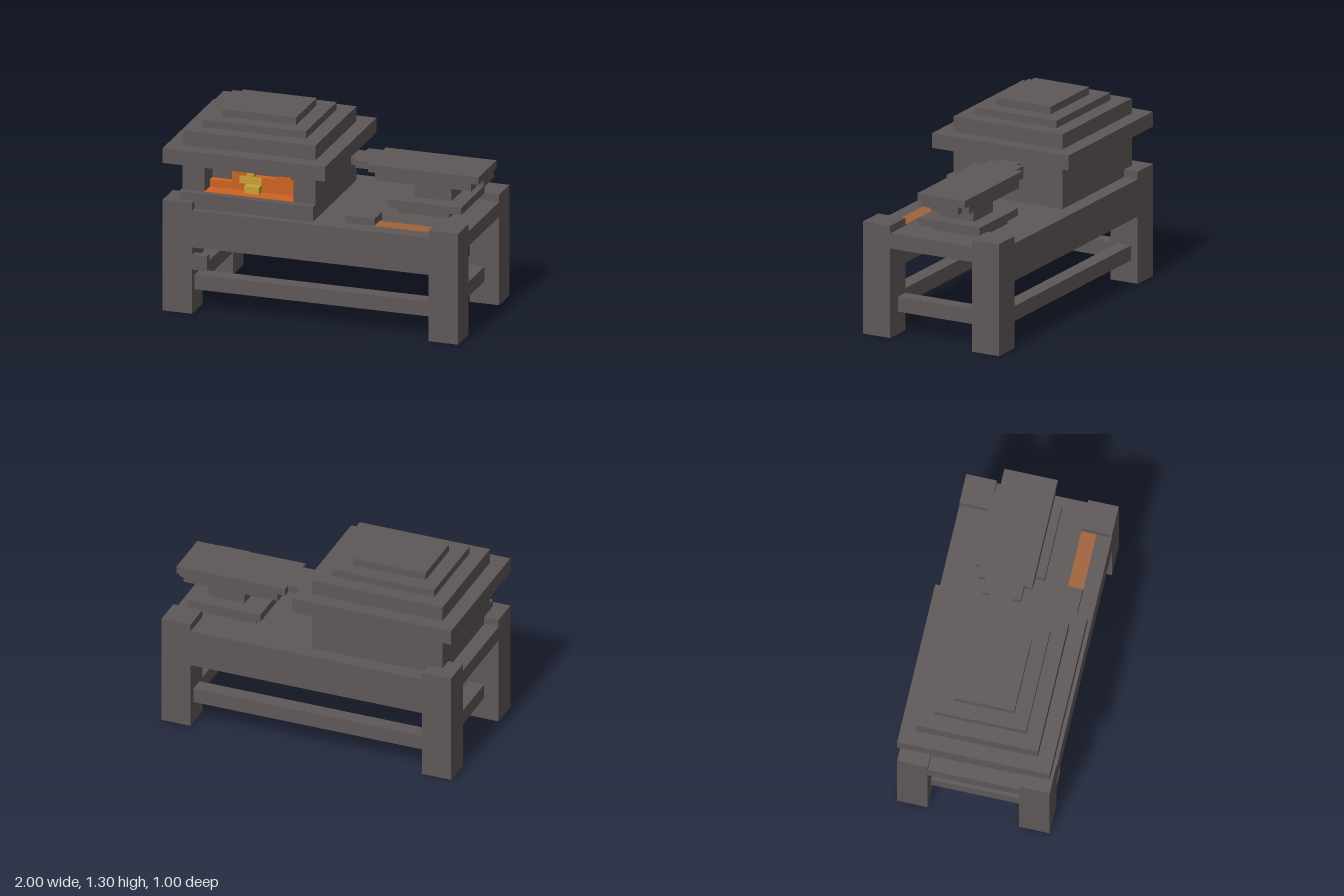
import * as THREE from 'three';

const mat = (name, color) => {
  const m = new THREE.MeshStandardMaterial({ color });
  m.name = name;
  return m;
};

export function createModel() {
  const stone = mat('dark stone', 0x5e5857);
  const fire = mat('fire orange', 0xcc6222);
  const flame = mat('flame yellow', 0xc8a238);
  const ember = mat('dull ember', 0xa0633a);
  const model = new THREE.Group();
  model.name = 'forgeTable';

  const group = (name) => {
    const g = new THREE.Group();
    g.name = name;
    model.add(g);
    return g;
  };
  // Box given by its extents on each axis
  const box = (parent, name, [x0, x1], [y0, y1], [z0, z1], material = stone) => {
    const mesh = new THREE.Mesh(new THREE.BoxGeometry(x1 - x0, y1 - y0, z1 - z0), material);
    mesh.position.set((x0 + x1) / 2, (y0 + y1) / 2, (z0 + z1) / 2);
    mesh.name = name;
    parent.add(mesh);
  };
  // Extent mirrored to the chosen side
  const side = (s, a, b) => (s > 0 ? [a, b] : [-b, -a]);

  // Table: legs, aprons, stretchers and top
  const table = group('table');
  for (const s of [-1, 1]) {
    for (const t of [-1, 1]) box(table, 'leg', side(s, 0.8, 1), [0, 0.75], side(t, 0.3, 0.5));
    box(table, 'apron', [-0.8, 0.8], [0.45, 0.7], side(s, 0.3, 0.5));
    box(table, 'longStretcher', [-0.8, 0.8], [0.15, 0.25], side(s, 0.35, 0.45));
    box(table, 'endStretcher', side(s, 0.8, 0.9), [0.15, 0.25], [-0.3, 0.3]);
  }
  box(table, 'tableTop', [-1, 1], [0.6, 0.7], [-0.3, 0.3]);
  box(table, 'legPeg', [-0.8, -0.7], [0.3, 0.4], [0.45, 0.5]);

  // Furnace body with an open mouth at the front
  const furnace = group('furnace');
  box(furnace, 'base', [-0.9, 0], [0.7, 0.8], [-0.4, 0.4]);
  box(furnace, 'sill', [-0.9, 0], [0.7, 0.8], [0.4, 0.45]);
  box(furnace, 'backMass', [-0.9, 0], [0.8, 1], [-0.4, 0.25]);
  box(furnace, 'leftPillar', [-0.15, 0], [0.8, 1], [0.25, 0.4]);
  box(furnace, 'rightPillar', [-0.9, -0.75], [0.8, 1], [0.25, 0.4]);

  // Stepped roof
  const roof = group('roof');
  [[0.55, 0.5, 1, 1.1], [0.45, 0.4, 1.1, 1.2], [0.35, 0.3, 1.2, 1.25], [0.25, 0.2, 1.25, 1.3]]
    .forEach(([hx, hz, y0, y1]) =>
      box(roof, 'roofStep', [-0.45 - hx, -0.45 + hx], [y0, y1], [-hz, hz]));

  // Blocky fire
  const blaze = group('fire');
  box(blaze, 'hearthBed', [-0.75, -0.15], [0.8, 0.803], [0.25, 0.4], fire);
  box(blaze, 'lowFlame', [-0.75, -0.6], [0.8, 0.85], [0.25, 0.3], fire);
  box(blaze, 'tallFlame', [-0.6, -0.5], [0.8, 1], [0.25, 0.295], fire);
  box(blaze, 'wideFlame', [-0.5, -0.15], [0.8, 0.9], [0.25, 0.295], fire);
  box(blaze, 'upperFlame', [-0.3, -0.2], [0.9, 1], [0.25, 0.295], fire);
  box(blaze, 'flameTip', [-0.5, -0.45], [0.9, 0.95], [0.25, 0.3], flame);
  box(blaze, 'flameCore', [-0.55, -0.4], [0.85, 0.9], [0.25, 0.3], flame);
  box(blaze, 'flameFoot', [-0.5, -0.4], [0.8, 0.85], [0.25, 0.35], flame);

  // Anvil
  const anvil = group('anvil');
  box(anvil, 'anvilBase', [0.45, 0.8], [0.7, 0.75], [-0.25, 0.1]);
  box(anvil, 'anvilFoot', [0.4, 0.9], [0.75, 0.8], [-0.3, 0.15]);
  box(anvil, 'anvilWaist', [0.55, 0.8], [0.8, 0.9], [-0.2, 0.05]);
  box(anvil, 'anvilBody', [0.3, 0.95], [0.9, 0.95], [-0.25, 0.1]);
  box(anvil, 'anvilHeel', [0.95, 1], [0.9, 0.95], [-0.2, 0]);
  box(anvil, 'anvilFace', [0.25, 1], [0.95, 1], [-0.25, 0.1]);
  box(anvil, 'hornRoot', [0.15, 0.25], [0.95, 1], [-0.2, 0.05]);
  box(anvil, 'hornTip', [0.1, 0.15], [0.95, 1], [-0.15, 0]);

  // Work piece on the table
  const work = group('workPiece');
  box(work, 'workBlock', [0.2, 0.4], [0.7, 0.75], [0.25, 0.4]);
  box(work, 'hotStrip', [0.4, 0.8], [0.7, 0.704], [0.3, 0.4], ember);

  return model;
}
